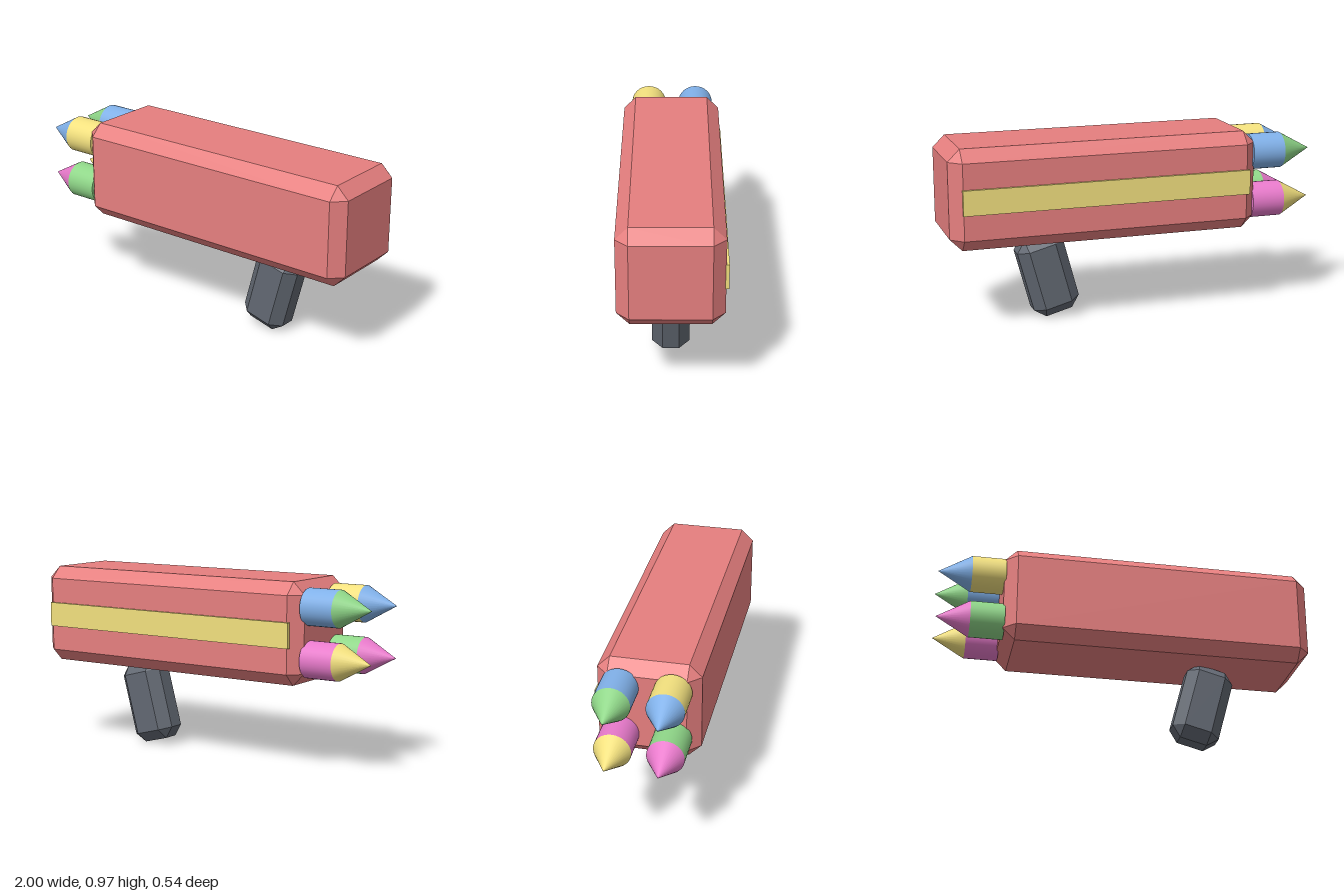
import * as THREE from 'three';
import { ConvexGeometry } from 'three/addons/geometries/ConvexGeometry.js';

const RED = 0xe67f7f, YELLOW = 0xf2e07e, BLUE = 0x80b0e8;
const GREEN = 0x8fd688, PINK = 0xe87acb, DARK = 0x626872;

function part(name, geometry, color, flat = false) {
  const mesh = new THREE.Mesh(geometry, new THREE.MeshStandardMaterial({ color, flatShading: flat }));
  mesh.name = name;
  return mesh;
}

// Box with every edge cut at 45 degrees and a triangle at each corner
function chamferedBox(w, h, d, c) {
  const points = [];
  for (const x of [-w / 2, w / 2])
    for (const y of [-h / 2, h / 2])
      for (const z of [-d / 2, d / 2]) {
        const ix = x - Math.sign(x) * c, iy = y - Math.sign(y) * c, iz = z - Math.sign(z) * c;
        points.push(
          new THREE.Vector3(x, iy, iz),
          new THREE.Vector3(ix, y, iz),
          new THREE.Vector3(ix, iy, z)
        );
      }
  return new ConvexGeometry(points);
}

// Round barrel with a pointed tip, both pointing to -x
function createRocket(name, y, z, barrelColor, tipColor) {
  const radius = 0.096, back = -0.645, shoulder = -0.825, point = -1;
  const rocket = new THREE.Group();
  rocket.name = name;
  const barrel = part('barrel', new THREE.CylinderGeometry(radius, radius, back - shoulder, 32), barrelColor);
  barrel.rotation.z = Math.PI / 2;
  barrel.position.x = (back + shoulder) / 2;
  const tip = part('tip', new THREE.ConeGeometry(radius, shoulder - point, 32), tipColor);
  tip.rotation.z = Math.PI / 2;
  tip.position.x = (shoulder + point) / 2;
  rocket.add(barrel, tip);
  rocket.position.set(0, y, z);
  return rocket;
}

export function createModel() {
  const model = new THREE.Group();
  model.name = 'rocketLauncher';

  // Long body
  const body = part('body', chamferedBox(1.653, 0.527, 0.526, 0.064), RED, true);
  body.position.set(0.172, 0.714, 0.007);
  model.add(body);

  // Slanted grip, its top sunk into the body
  const grip = part('grip', chamferedBox(0.256, 0.442, 0.196, 0.055), DARK, true);
  grip.position.set(0.446, 0.235, 0.008);
  grip.rotation.z = -Math.PI / 12;
  model.add(grip);

  // Stripe along the back side
  const stripe = part('stripe', new THREE.BoxGeometry(1.543, 0.131, 0.02), YELLOW);
  stripe.position.set(0.167, 0.714, -0.26);
  model.add(stripe);

  // Four rockets in a square
  const rockets = [
    ['upperFrontRocket', 0.85, 0.136, YELLOW, BLUE],
    ['lowerFrontRocket', 0.583, 0.136, GREEN, PINK],
    ['upperBackRocket', 0.85, -0.13, BLUE, GREEN],
    ['lowerBackRocket', 0.583, -0.13, PINK, YELLOW],
  ];
  for (const rocket of rockets) model.add(createRocket(...rocket));

  return model;
}
